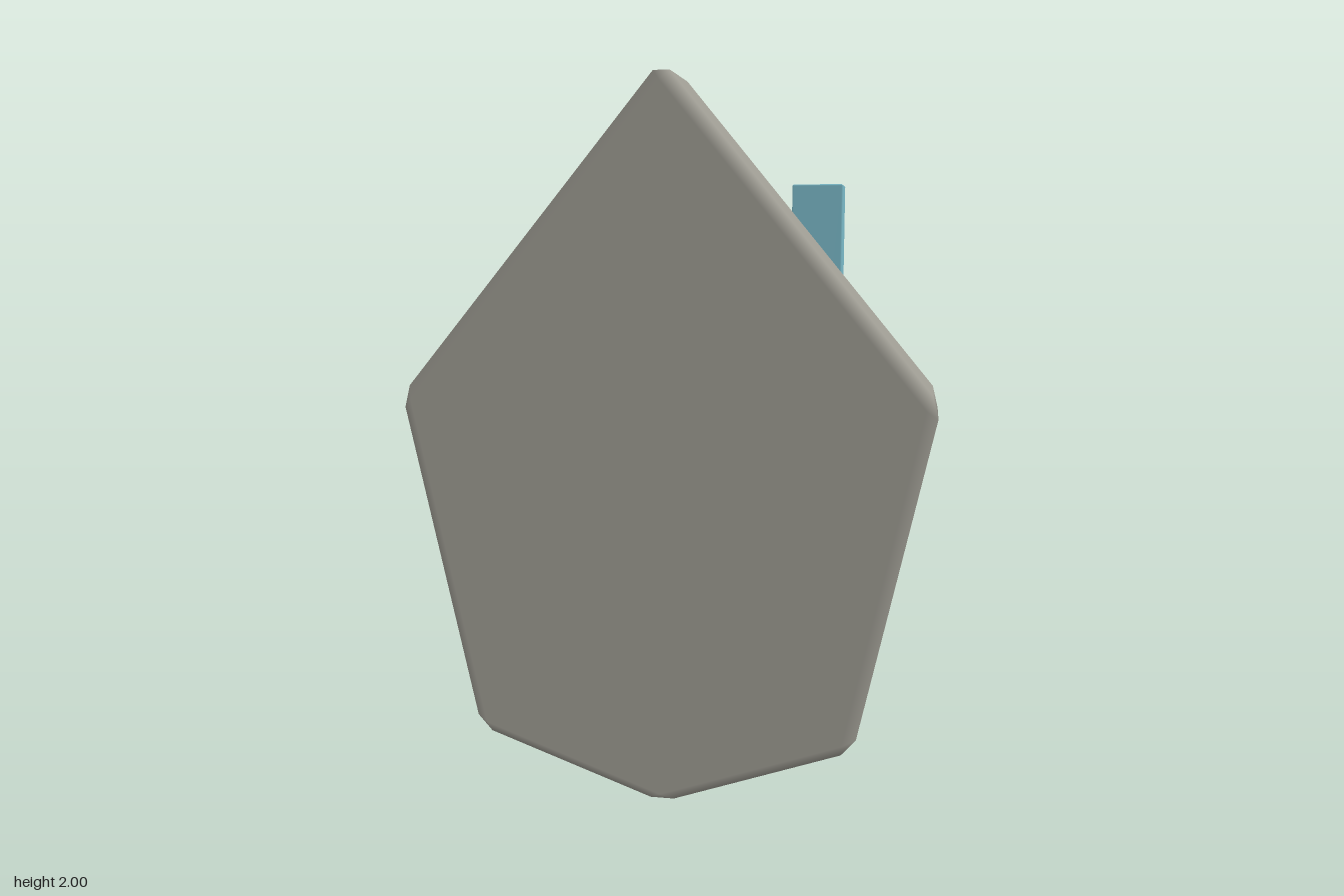
import * as THREE from 'three';

// Prism from a counter-clockwise outline, with chamfered edges whose normals
// blend between the flat faces on either side.
function beveledPrism(outline, zBack, zFront, bevel) {
  const n = outline.length;
  const pts = outline.map(([x, y]) => new THREE.Vector2(x, y));
  const dirs = pts.map((p, i) => pts[(i + 1) % n].clone().sub(p).normalize());
  const normals = dirs.map((d) => new THREE.Vector2(d.y, -d.x));
  const pos = [], nor = [], idx = [];
  const add = (p, z, nx, ny, nz) => {
    pos.push(p.x, p.y, z);
    nor.push(nx, ny, nz);
    return pos.length / 3 - 1;
  };
  const quad = (a, b, c, d) => idx.push(a, b, c, a, c, d);

  // Inset cap corners and shortened side panels
  const front = [], back = [], sides = [];
  for (let i = 0; i < n; i++) {
    const a = normals[(i + n - 1) % n], b = normals[i];
    const p = pts[i].clone().addScaledVector(a.clone().add(b), -bevel / (1 + a.dot(b)));
    front.push(add(p, zFront, 0, 0, 1));
    back.push(add(p, zBack, 0, 0, -1));
    const s = pts[i].clone().addScaledVector(dirs[i], bevel);
    const e = pts[(i + 1) % n].clone().addScaledVector(dirs[i], -bevel);
    const put = (q, z) => add(q, z, b.x, b.y, 0);
    sides.push({
      sf: put(s, zFront - bevel), ef: put(e, zFront - bevel),
      sb: put(s, zBack + bevel), eb: put(e, zBack + bevel),
    });
  }

  for (let i = 0; i < n; i++) {
    const j = (i + 1) % n, s = sides[i], t = sides[j];
    quad(s.sb, s.eb, s.ef, s.sf); // side panel
    quad(s.sf, s.ef, front[j], front[i]); // front chamfer
    quad(s.eb, s.sb, back[i], back[j]); // back chamfer
    quad(s.eb, t.sb, t.sf, s.ef); // corner chamfer
    idx.push(s.ef, t.sf, front[j], t.sb, s.eb, back[j]); // corner tips
    if (i > 0 && i < n - 1) { // caps
      idx.push(front[0], front[i], front[i + 1], back[0], back[i + 1], back[i]);
    }
  }

  const geo = new THREE.BufferGeometry();
  geo.setAttribute('position', new THREE.Float32BufferAttribute(pos, 3));
  geo.setAttribute('normal', new THREE.Float32BufferAttribute(nor, 3));
  geo.setIndex(idx);
  return geo;
}

export function createModel() {
  const group = new THREE.Group();
  const stone = new THREE.MeshStandardMaterial({ color: 0x9d9b92 });
  stone.name = 'warm grey';
  const teal = new THREE.MeshStandardMaterial({ color: 0x7ab9c8 });
  teal.name = 'pale teal';

  // Six-sided pointed slab
  const half = [[0.742, 1.133], [0.532, 0.176]];
  const slabOutline = [
    [0, 2.027],
    ...half.map(([x, y]) => [-x, y]),
    [0, -0.011],
    ...half.slice().reverse(),
  ];
  const slab = new THREE.Mesh(beveledPrism(slabOutline, -0.13, 0.2, 0.035), stone);
  slab.name = 'slab';
  group.add(slab);

  // Upright bar set into the back of the slab
  const barOutline = [[0.32, 0.305], [0.46, 0.305], [0.46, 1.715], [0.32, 1.715]];
  const bar = new THREE.Mesh(beveledPrism(barOutline, -0.2, -0.093, 0.004), teal);
  bar.name = 'backBar';
  group.add(bar);

  return group;
}
